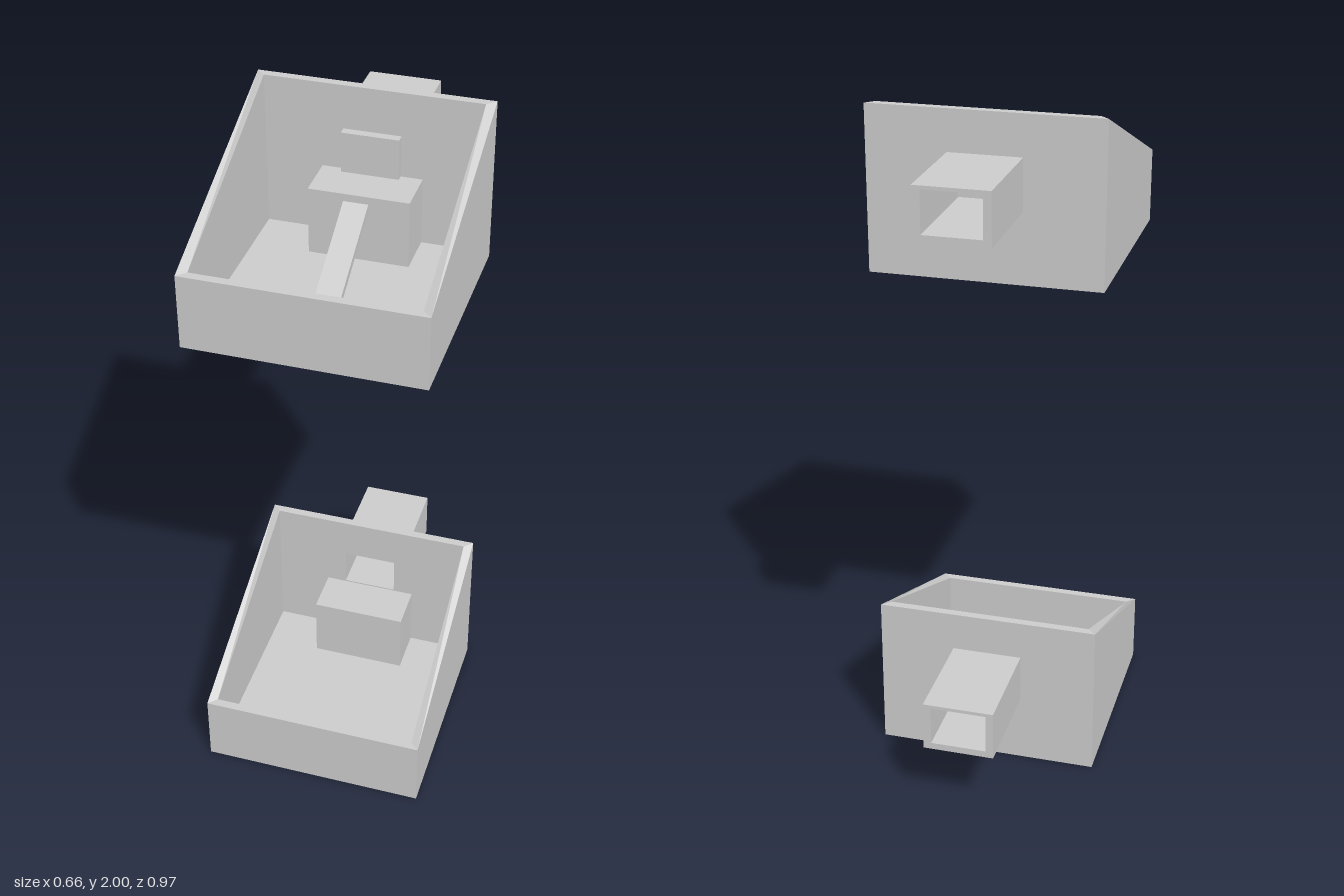
import * as THREE from 'three';

const material = new THREE.MeshStandardMaterial({ color: 0xcccccc, flatShading: true });

const WINDOW = [-0.083, 0.225, 0.08, 0.343];
const FLOOR = 0.025, FRONT_Y = 0.215, BACK_Y = 0.47;

function add(group, name, geometry) {
  const mesh = new THREE.Mesh(geometry, material);
  mesh.name = name;
  group.add(mesh);
  return mesh;
}

// Box given by its minimum and maximum corners
function box(group, name, [x0, y0, z0], [x1, y1, z1]) {
  const mesh = add(group, name, new THREE.BoxGeometry(x1 - x0, y1 - y0, z1 - z0));
  mesh.position.set((x0 + x1) / 2, (y0 + y1) / 2, (z0 + z1) / 2);
  return mesh;
}

// Upright rectangle with a rectangular hole
function holedRect(x0, y0, x1, y1, [a, b, c, d]) {
  const shape = new THREE.Shape();
  shape.moveTo(x0, y0).lineTo(x1, y0).lineTo(x1, y1).lineTo(x0, y1).closePath();
  const hole = new THREE.Path();
  hole.moveTo(a, b).lineTo(a, d).lineTo(c, d).lineTo(c, b).closePath();
  shape.holes.push(hole);
  return shape;
}

// Four corners in order: front left, front right, back right, back left
function ring(x, zFront, zBack, yFront, yBack) {
  return [[-x, yFront, zFront], [x, yFront, zFront], [x, yBack, zBack], [-x, yBack, zBack]];
}

// Open bin with a sloping mitred rim
function binShell(group) {
  const outerLow = ring(0.33, 0.485, -0.175, 0, 0);
  const outerTop = ring(0.33, 0.485, -0.175, FRONT_Y, BACK_Y);
  const innerTop = ring(0.305, 0.46, -0.15, FRONT_Y, BACK_Y);
  const innerLow = ring(0.305, 0.46, -0.15, FLOOR, FLOOR);
  const positions = [];
  const quad = (a, b, c, d) => positions.push(...a, ...b, ...c, ...a, ...c, ...d);
  for (let i = 0; i < 4; i++) {
    const j = (i + 1) % 4;
    quad(outerTop[i], outerTop[j], innerTop[j], innerTop[i]);
    if (i === 2) continue; // the back wall has a window
    quad(outerLow[i], outerLow[j], outerTop[j], outerTop[i]);
    quad(innerTop[i], innerTop[j], innerLow[j], innerLow[i]);
  }
  quad(...innerLow);
  quad(...outerLow.slice().reverse());
  const geometry = new THREE.BufferGeometry();
  geometry.setAttribute('position', new THREE.Float32BufferAttribute(positions, 3));
  geometry.computeVertexNormals();
  add(group, 'binShell', geometry);

  // Inner and outer faces of the back wall
  const inside = new THREE.ShapeGeometry(holedRect(-0.305, FLOOR, 0.305, BACK_Y, WINDOW));
  add(group, 'backWallInside', inside).position.z = -0.15;
  const [a, b, c, d] = WINDOW;
  const outside = new THREE.ShapeGeometry(holedRect(-0.33, 0, 0.33, BACK_Y, [-c, b, -a, d]));
  outside.rotateY(Math.PI);
  add(group, 'backWallOutside', outside).position.z = -0.175;
}

function createBin(name) {
  const bin = new THREE.Group();
  bin.name = name;
  binShell(bin);

  // Square duct running back from the window
  const duct = new THREE.ExtrudeGeometry(holedRect(-0.105, 0.205, 0.103, 0.353, WINDOW),
    { depth: 0.334, bevelEnabled: false });
  add(bin, 'duct', duct).position.z = -0.485;

  // Step below the window and low slab near the front
  box(bin, 'step', [-0.143, FLOOR, -0.15], [0.141, 0.222, -0.015]);
  box(bin, 'floorSlab', [-0.095, FLOOR, 0.325], [0.093, 0.05, 0.4]);
  return bin;
}

export function createModel() {
  const model = new THREE.Group();
  model.name = 'stackedBins';

  const lower = createBin('lowerBin');
  const upper = createBin('upperBin');
  upper.position.y = 1.53;
  model.add(lower, upper);

  // Door closing the upper window
  box(upper, 'door', [-0.083, 0.225, -0.15], [0.08, 0.343, -0.125]);

  // Sloping plank from the step down to the floor
  const rise = 0.16, run = 0.29, thickness = 0.02;
  const angle = Math.atan2(rise, run);
  const plank = add(upper, 'plank', new THREE.BoxGeometry(0.07, thickness, Math.hypot(rise, run)));
  plank.rotation.x = angle;
  plank.position.set(-0.001, 0.135 - Math.cos(angle) * thickness / 2,
    0.155 - Math.sin(angle) * thickness / 2);

  return model;
}
